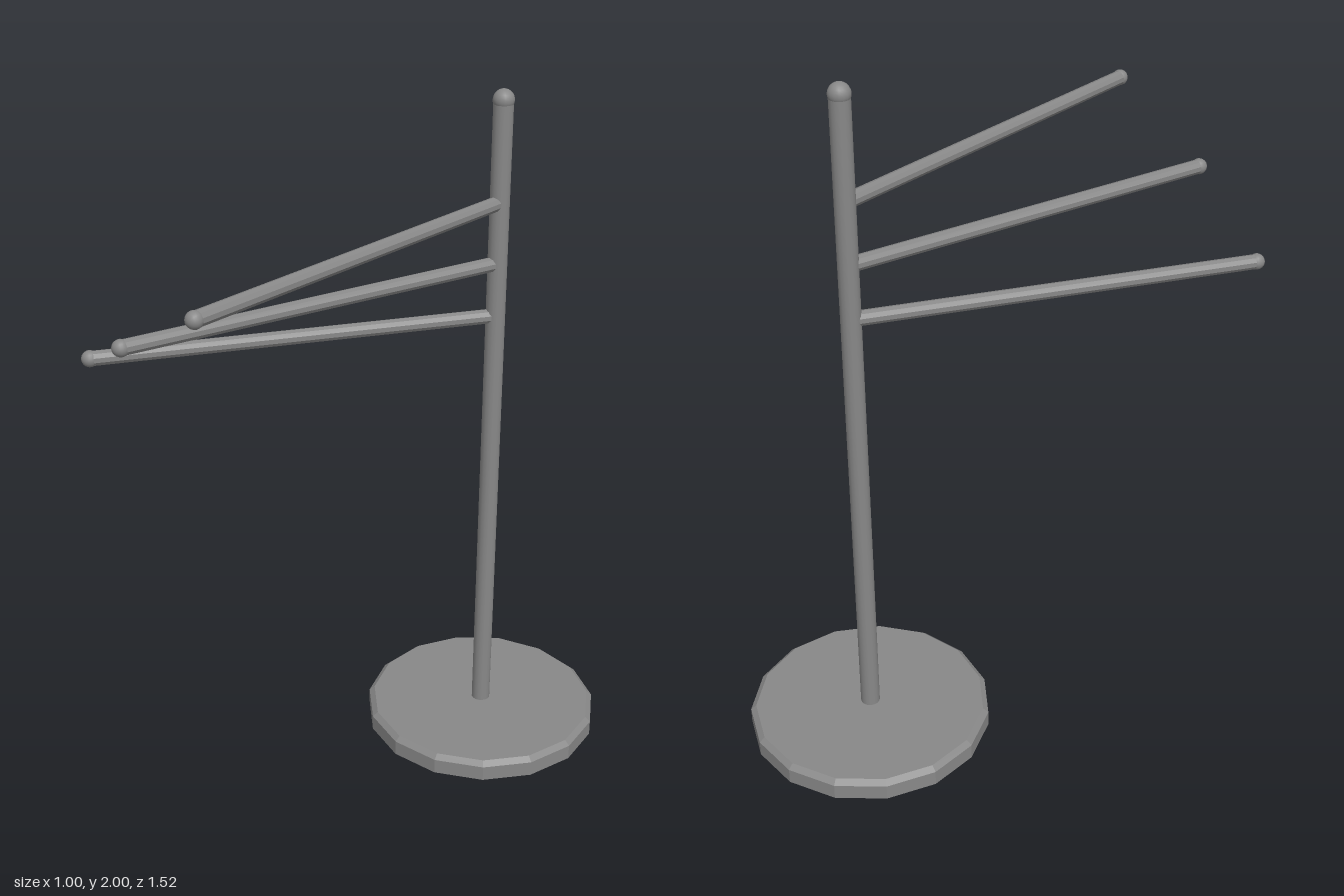
import * as THREE from 'three';

export function createModel() {
  const stand = new THREE.Group();
  stand.name = 'towelStand';
  const metal = new THREE.MeshStandardMaterial({ color: 0x888888, side: THREE.DoubleSide });
  metal.name = 'grey metal';
  const facetedMetal = metal.clone();
  facetedMetal.name = 'faceted grey metal';
  facetedMetal.flatShading = true;

  const add = (parent, name, geometry, material = metal) => {
    const mesh = new THREE.Mesh(geometry, material);
    mesh.name = name;
    parent.add(mesh);
    return mesh;
  };
  // Rounded cap, open underneath, pointing up
  const dome = (radius) => new THREE.SphereGeometry(radius, 16, 8, 0, Math.PI * 2, 0, Math.PI * 0.62);

  // Everything is arranged around the pole's axis
  const body = new THREE.Group();
  body.name = 'body';
  body.position.set(0.144, 0, -0.405);
  stand.add(body);

  // Fifteen-sided foot: a thin shell, open below, with a bevelled rim and a bore for the pole
  const profile = [[0.356, 0], [0.356, 0.046], [0.34, 0.06], [0.027, 0.06]]
    .map(([r, y]) => new THREE.Vector2(r, y));
  add(body, 'base', new THREE.LatheGeometry(profile, 15, 0.265), facetedMetal);

  // Hollow upright pole with a rounded finial
  const pole = add(body, 'pole', new THREE.CylinderGeometry(0.028, 0.028, 1.912, 16, 1, true));
  pole.position.y = 1.016;
  const finial = add(body, 'finial', dome(0.03));
  finial.position.y = 1.97;

  // Three swinging arms, fanned out and tipped with small domes
  const length = 1.143;
  const start = 0.015;
  const arms = [['topArm', 1.686, 0], ['middleArm', 1.511, -0.288], ['bottomArm', 1.355, -0.573]];
  for (const [name, y, turn] of arms) {
    const arm = new THREE.Group();
    arm.name = name;
    arm.position.y = y;
    arm.rotation.y = turn;
    body.add(arm);
    const rod = add(arm, 'rod',
      new THREE.CylinderGeometry(0.021, 0.021, length - start, 10, 1, true).rotateX(Math.PI / 2), facetedMetal);
    rod.position.z = (length + start) / 2;
    const tip = add(arm, 'tip', dome(0.023).rotateX(Math.PI / 2));
    tip.position.z = length;
  }
  return stand;
}
